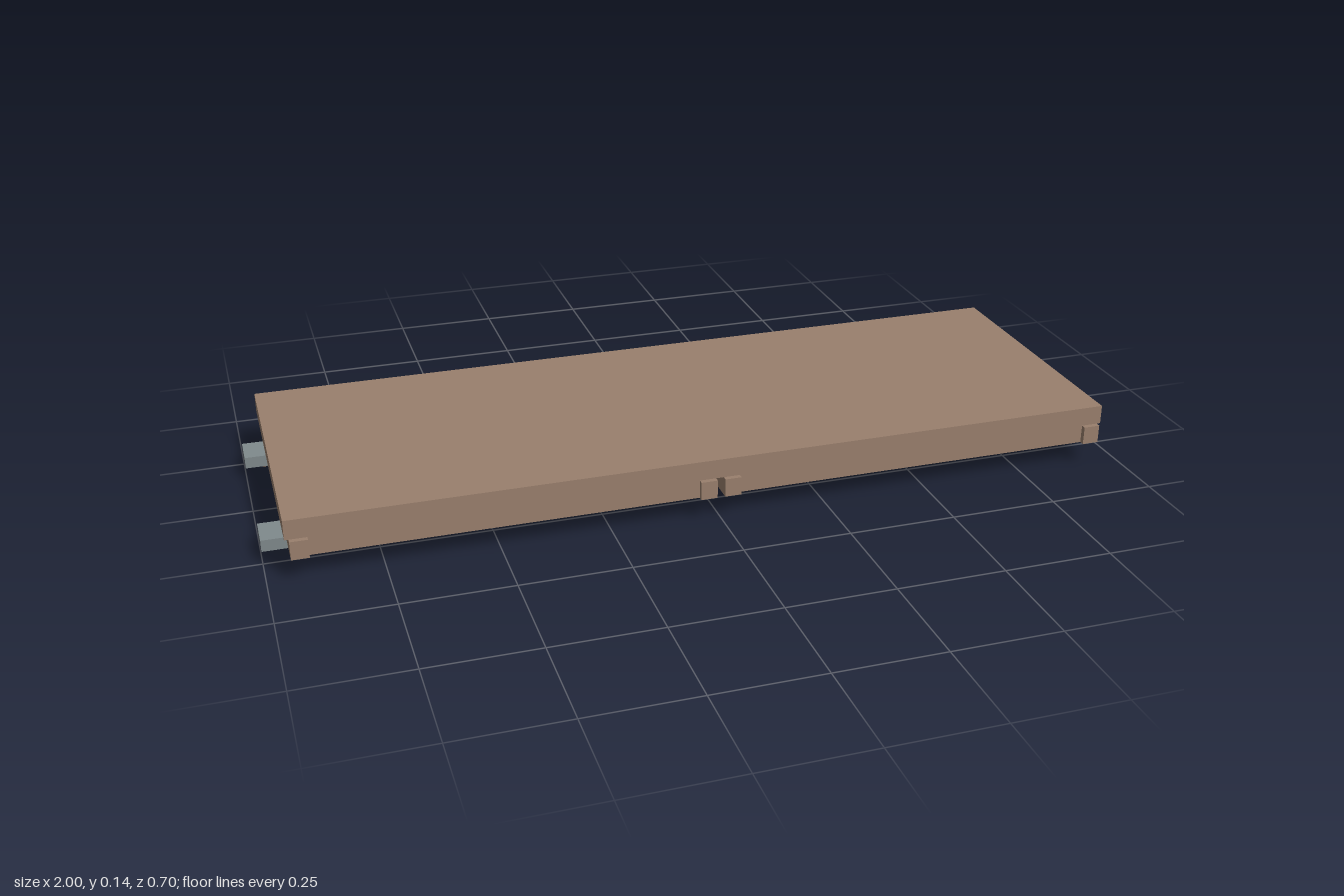
import * as THREE from 'three';

export function createModel() {
  const root = new THREE.Group();
  const material = (name, color) => {
    const m = new THREE.MeshStandardMaterial({ color });
    m.name = name;
    return m;
  };
  const wood = material('brown wood', 0x9a806d);
  const board = material('pale board', 0xb09c7c);
  const steel = material('grey steel', 0x808a8c);
  const tan = material('tan bolt', 0xb8977a);

  // Box given by its minimum and maximum corners
  function box(name, mat, x0, x1, y0, y1, z0, z1) {
    const mesh = new THREE.Mesh(new THREE.BoxGeometry(x1 - x0, y1 - y0, z1 - z0), mat);
    mesh.name = name;
    mesh.position.set((x0 + x1) / 2, (y0 + y1) / 2, (z0 + z1) / 2);
    root.add(mesh);
  }
  // Same box on the left or right half of the platform
  function half(s, name, mat, a, b, ...rest) {
    box(name, mat, Math.min(s * a, s * b), Math.max(s * a, s * b), ...rest);
  }
  function bolt(name, mat, x, y0, y1, z, r) {
    const mesh = new THREE.Mesh(new THREE.CylinderGeometry(r, r, y1 - y0, 12), mat);
    mesh.name = name;
    mesh.position.set(x, (y0 + y1) / 2, z);
    root.add(mesh);
  }

  // Deck slab
  box('deck', wood, -0.955, 0.955, 0.096, 0.141, -0.336, 0.336);

  for (const s of [-1, 1]) {
    // Cross beams at the end and beside the middle gap
    half(s, 'endBeam', wood, 0.907, 0.946, 0.053, 0.096, -0.348, 0.348);
    half(s, 'middleBeam', wood, 0.009, 0.047, 0.053, 0.096, -0.348, 0.348);

    // Long rails along the edges and the centre
    for (const z of [-0.318, 0.318]) {
      half(s, 'sideRail', wood, 0.047, 0.907, 0.053, 0.096, z - 0.018, z + 0.018);
    }
    half(s, 'centreRail', wood, 0.022, 0.907, 0.04, 0.094, -0.04, 0.02);

    // Boards under the deck with narrow grooves between them
    const count = 9, pitch = 0.6 / count;
    for (let i = 0; i < count; i++) {
      const z = -0.3 + i * pitch;
      half(s, 'underBoard', board, 0.047, 0.907, 0.09, 0.096, z + 0.001, z + pitch - 0.001);
    }

    // End brackets with bolts
    for (const z of [-0.207, 0.207]) {
      half(s, 'endBracket', steel, 0.907, 1, 0.028, 0.055, z - 0.04, z + 0.04);
      bolt('endBolt', tan, s * 0.957, 0.014, 0.028, z, 0.014);
    }

    // Middle latch with its bolt
    half(s, 'middleLatch', steel, 0.062, 0.186, 0.011, 0.04, -0.018, 0.018);
    bolt('latchBolt', steel, s * 0.124, 0, 0.011, 0, 0.012);
  }
  return root;
}
